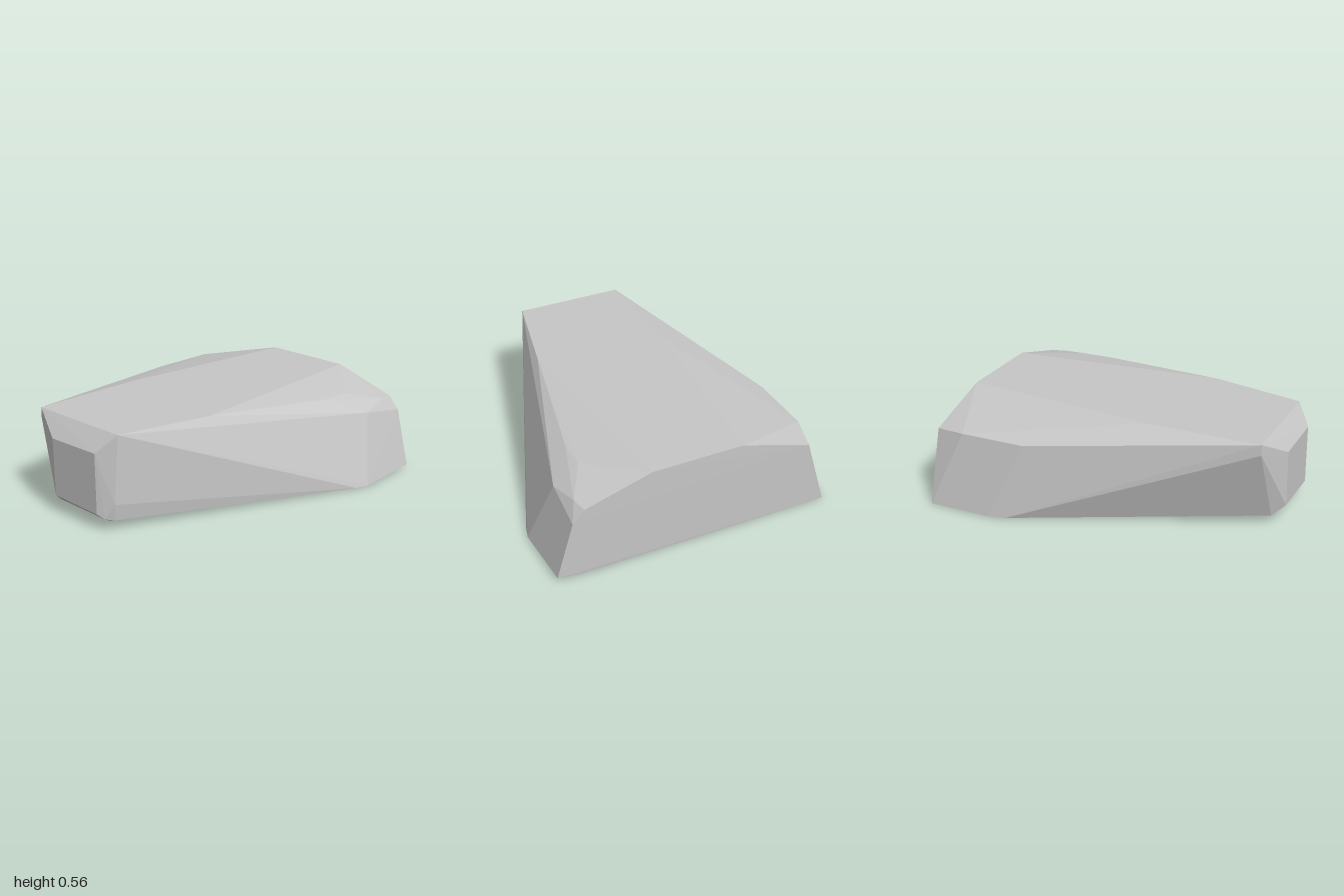
import * as THREE from 'three';
import { ConvexGeometry } from 'three/addons/geometries/ConvexGeometry.js';

const stone = new THREE.MeshStandardMaterial({ color: 0xc6c6c6 });
stone.name = 'stoneGrey';
stone.flatShading = true;

// corners of the faceted boulder, ring by ring
const rings = {
  topPlate: [
    [-0.91, 0.565, -0.4], [-0.22, 0.565, -0.4], [0.995, 0.565, -0.28],
    [0.995, 0.565, 0.28], [-0.33, 0.565, 0.4], [-0.91, 0.565, 0.27],
  ],
  backRim: [
    [-0.91, 0.5, -0.4], [0.4, 0.457, -0.765], [0.8, 0.457, -0.765], [0.998, 0.435, -0.715],
  ],
  frontRim: [
    [0.5, 0.51, 0.575], [0.68, 0.508, 0.575], [0.9, 0.45, 0.7], [0.995, 0.445, 0.68],
    [0.7, 0.415, 0.735], [0.995, 0.37, 0.75],
  ],
  narrowEnd: [
    [-1, 0.45, -0.19], [-1, 0.455, 0.175], [-1, 0.095, 0.18], [-1, 0.105, -0.18],
    [-0.975, 0.07, 0.22], [-0.94, 0.16, 0.265], [-0.93, 0.06, 0.255],
  ],
  base: [
    [-0.93, 0.045, -0.23], [-0.93, 0.045, 0.21], [0.5, 0, -0.83], [0.6, 0, -0.855],
    [0.99, 0, -0.855], [0.99, 0, 0.7], [0.992, 0.025, 0.845], [0.58, 0.005, 0.855],
    [0.5, 0.005, 0.833], [0.5, 0, 0.79],
  ],
};

export function createModel() {
  const group = new THREE.Group();
  group.name = 'rock';
  const points = Object.values(rings).flat().map((p) => new THREE.Vector3(...p));
  const boulder = new THREE.Mesh(new ConvexGeometry(points), stone);
  boulder.name = 'boulder';
  group.add(boulder);
  return group;
}
